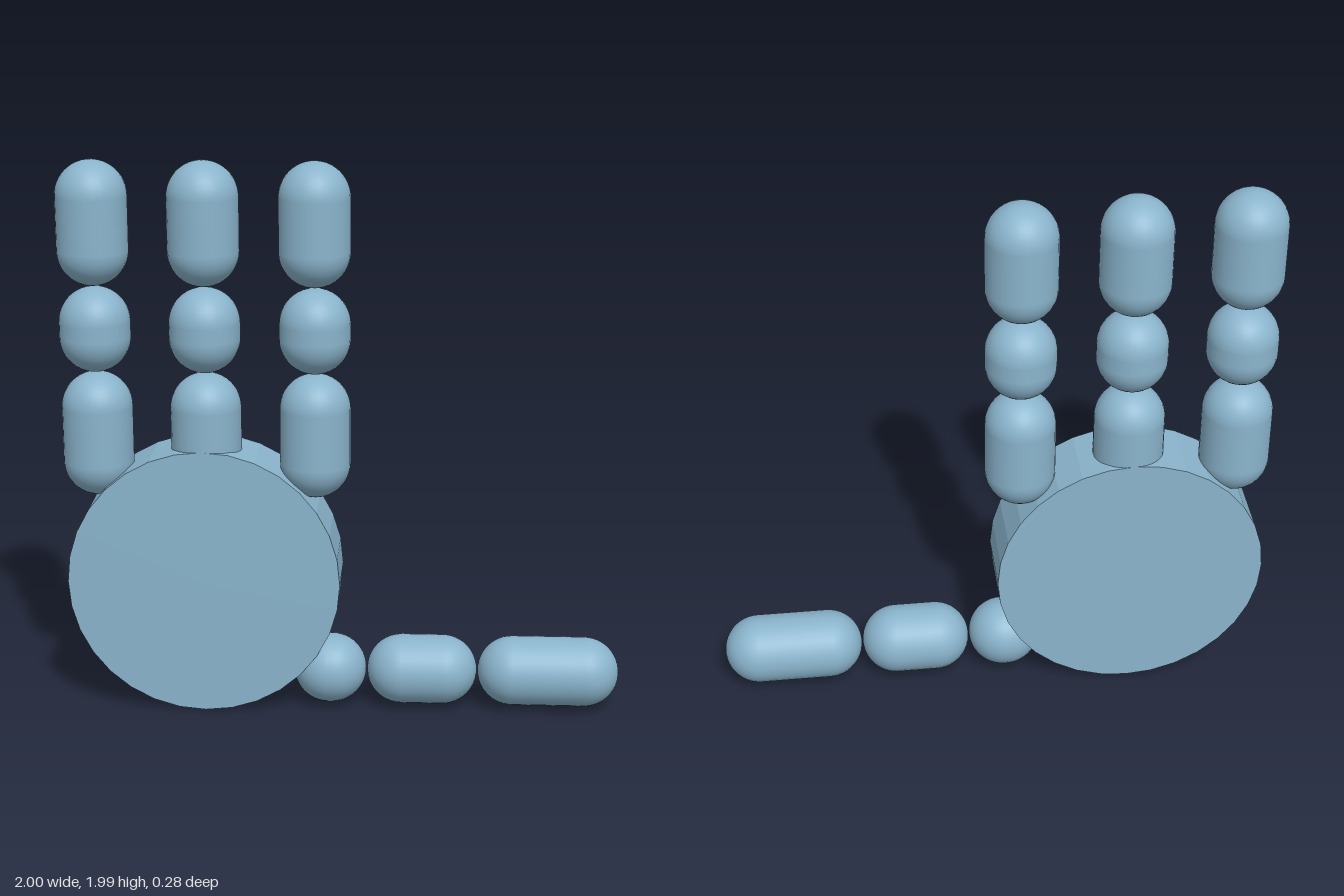
import * as THREE from 'three';

const RADIUS = 0.126;
const skin = new THREE.MeshStandardMaterial({ color: 0x8ab4cc });
const skinFlat = new THREE.MeshStandardMaterial({ color: 0x8ab4cc, flatShading: true });

// A chain of upright capsules, each given by its [start, end] along y
function makeDigit(name, spans) {
  const digit = new THREE.Group();
  digit.name = name;
  spans.forEach(([start, end], i) => {
    const geometry = new THREE.CapsuleGeometry(RADIUS, end - start - 2 * RADIUS, 12, 32);
    const segment = new THREE.Mesh(geometry, skin);
    segment.name = `${name}Segment${i + 1}`;
    segment.position.y = (start + end) / 2;
    digit.add(segment);
  });
  return digit;
}

export function createModel() {
  const hand = new THREE.Group();
  hand.name = 'hand';

  // Round, flat palm
  const palmGeometry = new THREE.CylinderGeometry(0.487, 0.487, 0.252, 32);
  palmGeometry.rotateX(Math.PI / 2);
  const palm = new THREE.Mesh(palmGeometry, skinFlat);
  palm.name = 'palm';
  palm.position.set(-0.493, 0.49, -0.014);
  hand.add(palm);

  // Three fingers pointing up
  [-0.874, -0.487, -0.099].forEach((x, i) => {
    const finger = makeDigit(`finger${i + 1}`, [[0.785, 1.235], [1.237, 1.542], [1.546, 1.988]]);
    finger.position.set(x, 0, -0.014);
    hand.add(finger);
  });

  // Thumb pointing sideways to +x
  const thumb = makeDigit('thumb', [[-0.176, 0.086], [0.089, 0.487], [0.49, 1.0]]);
  thumb.rotation.z = -Math.PI / 2;
  thumb.position.set(0, 0.138, 0.011);
  hand.add(thumb);

  return hand;
}
